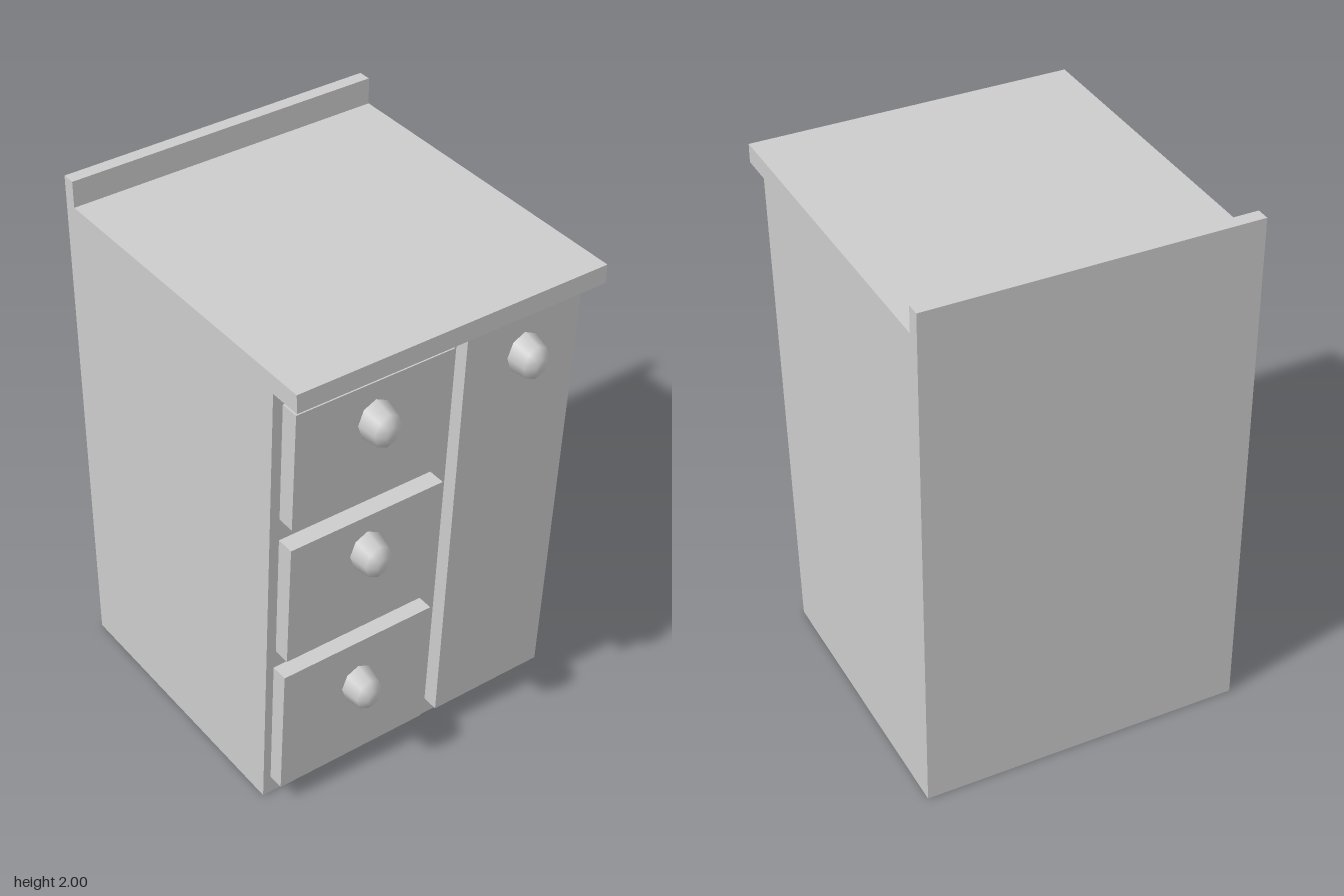
import * as THREE from 'three';

const material = new THREE.MeshStandardMaterial({ color: 0xcccccc });
const TILT = 0.068; // lean of the front per unit of height

// Extrude a side profile of [z, y] points from x0 to x1.
function slab(name, points, x0, x1) {
  const shape = new THREE.Shape(points.map(([z, y]) => new THREE.Vector2(z, y)));
  const geometry = new THREE.ExtrudeGeometry(shape, { depth: x1 - x0, bevelEnabled: false });
  geometry.rotateY(-Math.PI / 2).translate(x1, 0, 0);
  const mesh = new THREE.Mesh(geometry, material);
  mesh.name = name;
  return mesh;
}

const frameZ = (y) => 0.42 + 0.063 * y; // leaning carcass front
const drawerZ = (y) => 0.482 + TILT * y; // leaning drawer faces
const doorZ = (y) => 0.484 + 0.057 * y;

// A leaning panel that sits on the carcass front.
function panel(name, x0, x1, y0, y1, faceZ) {
  const inner = (y) => frameZ(y) - 0.005;
  return slab(name, [[inner(y0), y0], [faceZ(y0), y0], [faceZ(y1), y1], [inner(y1), y1]], x0, x1);
}

// Eight-sided oval knob, square to the leaning face.
function knob(name, x, y, z) {
  const profile = [[0.083, -0.02], [0.081, 0], [0.067, 0.07], [0.03, 0.095], [0, 0.096]]
    .map(([r, h]) => new THREE.Vector2(r, h));
  const geometry = new THREE.LatheGeometry(profile, 8);
  geometry.scale(0.8, 1, 1);
  const mesh = new THREE.Mesh(geometry, material);
  mesh.name = name;
  mesh.rotation.x = Math.PI / 2 + TILT;
  mesh.position.set(x, y, z);
  return mesh;
}

export function createModel() {
  const group = new THREE.Group();
  group.name = 'cabinet';
  const W = 0.607, wall = 0.008, back = -0.682, recess = 0.075;

  // Carcass outline with overhanging worktop and rear upstand
  const upper = [[frameZ(1.83), 1.83], [0.661, 1.83], [0.661, 1.9], [-0.632, 1.9], [-0.632, 2], [back, 2]];
  const sideProfile = [[back, 0], [frameZ(0), 0], ...upper];
  // The middle is hollowed underneath
  const bodyProfile = [
    [back, 0], [back + wall, 0], [back + wall, recess],
    [frameZ(recess) - wall, recess], [frameZ(0) - wall, 0], [frameZ(0), 0], ...upper,
  ];
  group.add(slab('body', bodyProfile, -W + wall, W - wall));
  group.add(slab('rightSide', sideProfile, -W, -W + wall));
  group.add(slab('leftSide', sideProfile, W - wall, W));

  // Divider under the base
  group.add(slab('baseDivider', [
    [back + wall, 0], [frameZ(0) - wall, 0], [frameZ(recess) - wall, recess], [back + wall, recess],
  ], 0.112, 0.12));

  // Drawers: x0, x1, y0, y1, knob height
  const drawers = [
    ['top', -0.57, 0.04, 1.3, 1.772, 1.62],
    ['middle', -0.57, 0.04, 0.705, 1.21, 1.06],
    ['bottom', -0.577, 0.037, 0.08, 0.63, 0.43],
  ];
  for (const [name, x0, x1, y0, y1, ky] of drawers) {
    group.add(panel(name + 'Drawer', x0, x1, y0, y1, drawerZ));
    group.add(knob(name + 'DrawerKnob', -0.265, ky, drawerZ(ky)));
  }

  // Tall door
  group.add(panel('door', 0.105, 0.573, 0.077, 1.775, doorZ));
  group.add(knob('doorKnob', 0.345, 1.617, doorZ(1.617)));

  return group;
}
